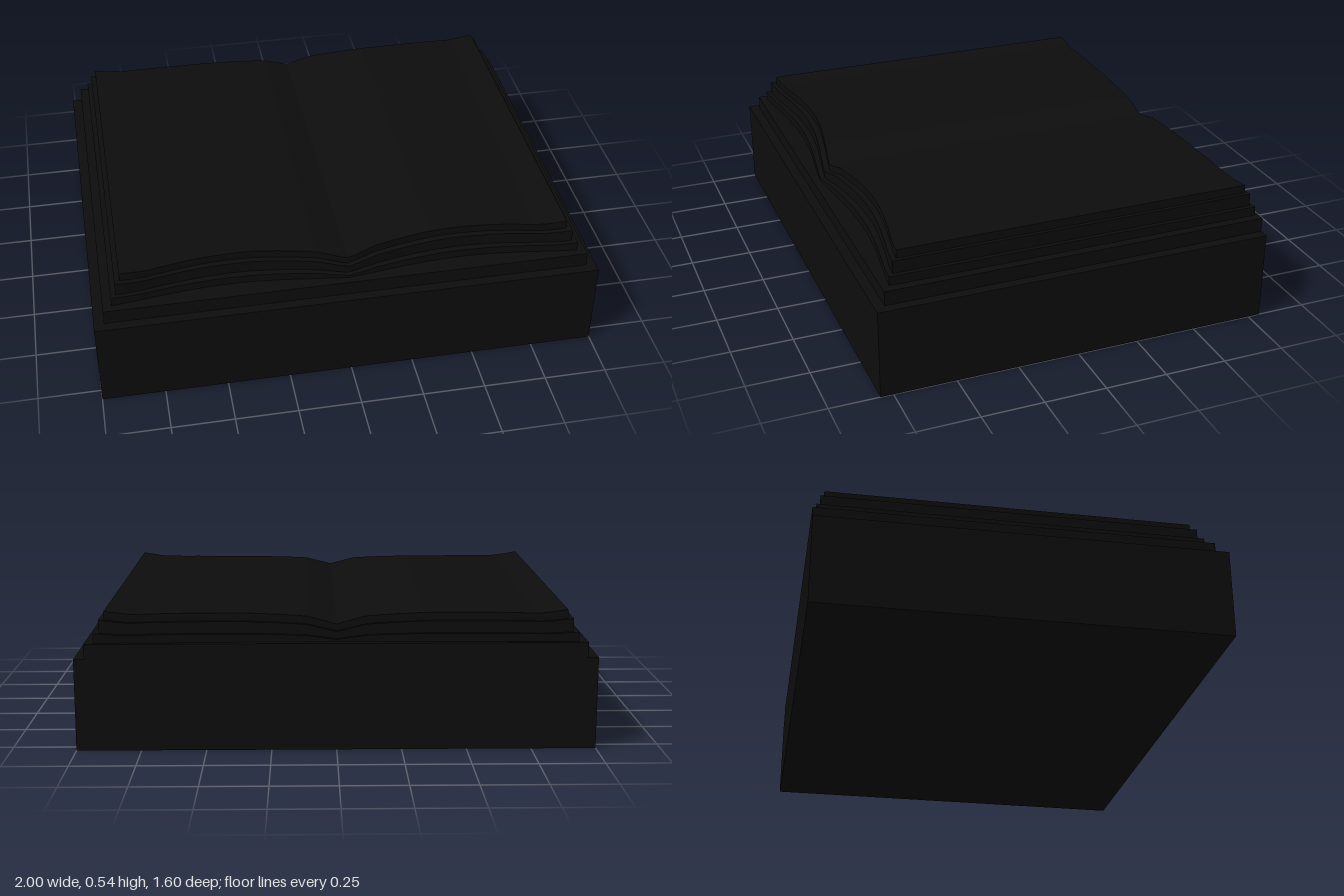
import * as THREE from 'three';
import { toCreasedNormals } from 'three/addons/utils/BufferGeometryUtils.js';

// Height of the open page surface from the spine outwards, relative to the outer edge
const PROFILE = [[0, -0.055], [0.05, -0.041], [0.11, -0.024], [0.2, -0.017], [0.35, -0.01],
  [0.6, -0.01], [0.78, -0.014], [0.88, 0], [1, 0]];

function pageDip(x) {
  const a = Math.abs(x);
  for (let i = 1; i < PROFILE.length; i++) {
    const [x0, y0] = PROFILE[i - 1], [x1, y1] = PROFILE[i];
    if (a <= x1) return y0 + (y1 - y0) * (a - x0) / (x1 - x0);
  }
  return 0;
}

// Block with a dipped top and two scooped page edges at the front
function pageBlock({ halfWidth, front, back, bottom, top, dip, scoop, bow }) {
  const geo = new THREE.BoxGeometry(2, 1, 1, 48, 1, 1);
  const p = geo.attributes.position;
  for (let i = 0; i < p.count; i++) {
    const t = p.getX(i), x = t * halfWidth;
    const y = p.getY(i) > 0 ? top + dip * pageDip(t * 0.88) : bottom;
    const z = p.getZ(i) > 0
      ? front - scoop * Math.pow(Math.sin(Math.PI * Math.abs(t)), 1.2 )
      : back + bow * (1 - t * t);
    p.setXYZ(i, x, y, z);
  }
  return toCreasedNormals(geo, 0.2);
}

export function createModel() {
  const model = new THREE.Group();
  const black = new THREE.MeshStandardMaterial({ color: 0x0d0d0d });
  black.name = 'black';

  const add = (name, geometry) => {
    const mesh = new THREE.Mesh(geometry, black);
    mesh.name = name;
    model.add(mesh);
    return mesh;
  };

  // Plinth and the flat cover lying on it
  add('base', new THREE.BoxGeometry(2, 0.36, 1.6)).position.y = 0.18;
  add('cover', new THREE.BoxGeometry(1.92, 0.06, 1.56)).position.set(0, 0.388, -0.02);

  // Stacked layers of pages, each smaller than the one below
  const layers = [
    { name: 'lowerPages', halfWidth: 0.925, front: 0.73, back: -0.785, bottom: 0.41, top: 0.455, dip: 0.5, scoop: 0.045, bow: 0.015 },
    { name: 'middlePages', halfWidth: 0.905, front: 0.71, back: -0.77, bottom: 0.41, top: 0.505, dip: 0.9, scoop: 0.052, bow: 0.012 },
    { name: 'upperPages', halfWidth: 0.885, front: 0.688, back: -0.756, bottom: 0.42, top: 0.537, dip: 1, scoop: 0.055, bow: 0.01 },
  ];
  for (const layer of layers) add(layer.name, pageBlock(layer));

  return model;
}
